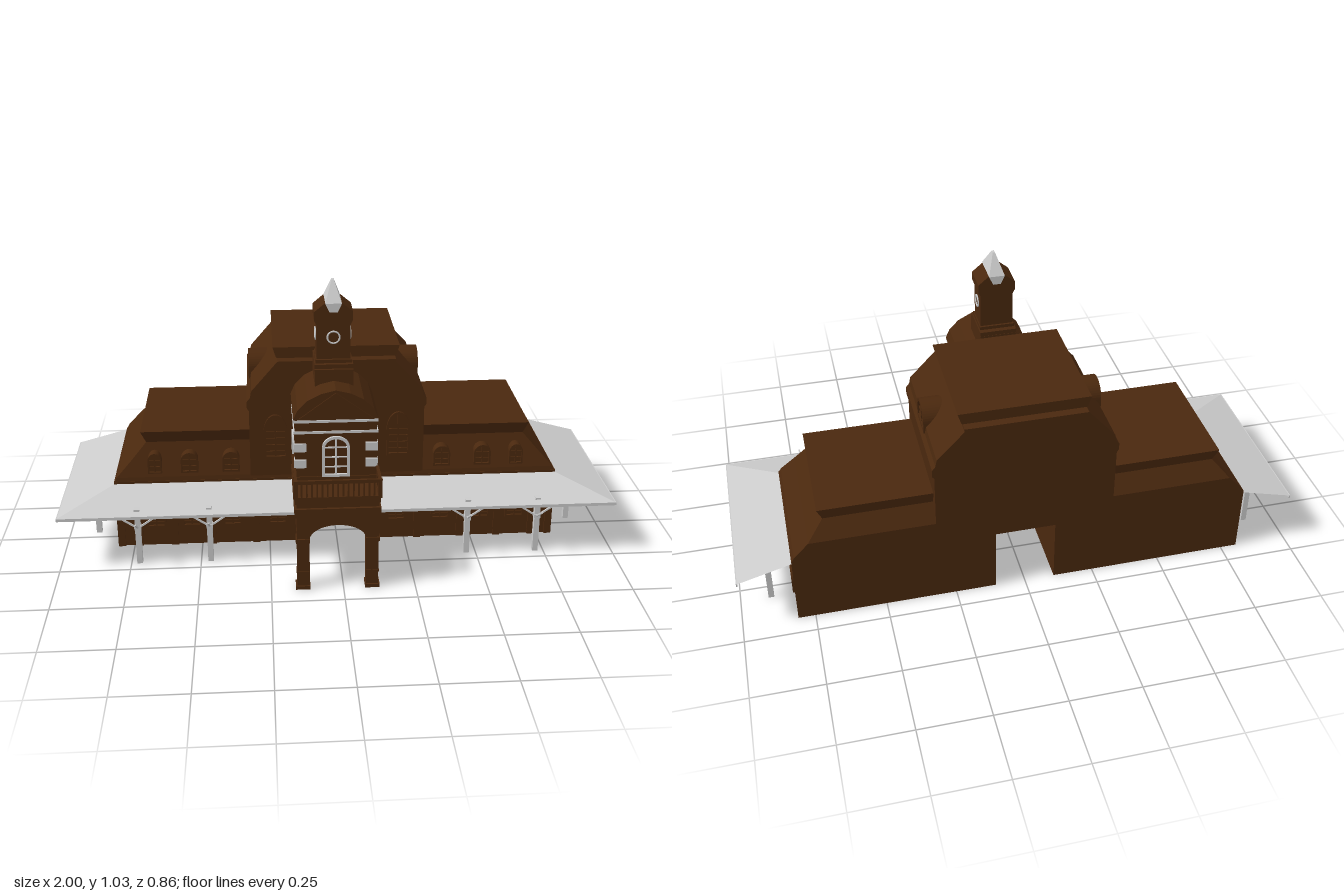
import * as THREE from 'three';

const brown = new THREE.MeshStandardMaterial({ color: 0x4a280e, flatShading: true, side: THREE.DoubleSide });
const grey = new THREE.MeshStandardMaterial({ color: 0xcccccc, flatShading: true, side: THREE.DoubleSide });
const CX = -0.02; // centre line of the entrance tower

export function createModel() {
  const root = new THREE.Group();

  const add = (name, geo, mat = brown, parent = root) => {
    const m = new THREE.Mesh(geo, mat);
    m.name = name;
    parent.add(m);
    return m;
  };
  // Box given by its limits
  const box = (name, x0, x1, y0, y1, z0, z1, mat = brown, parent = root) => {
    const m = add(name, new THREE.BoxGeometry(x1 - x0, y1 - y0, z1 - z0), mat, parent);
    m.position.set((x0 + x1) / 2, (y0 + y1) / 2, (z0 + z1) / 2);
    return m;
  };
  // Stack of rectangles [y, x0, x1, z0, z1] joined by flat sides and capped
  const loft = (name, rects, mat = brown) => {
    const pos = [], idx = [];
    for (const [y, x0, x1, z0, z1] of rects) pos.push(x0, y, z1, x1, y, z1, x1, y, z0, x0, y, z0);
    for (let r = 0; r < rects.length - 1; r++) {
      for (let i = 0; i < 4; i++) {
        const a = r * 4 + i, b = r * 4 + (i + 1) % 4;
        idx.push(a, b, b + 4, a, b + 4, a + 4);
      }
    }
    const t = (rects.length - 1) * 4;
    idx.push(0, 2, 1, 0, 3, 2, t, t + 1, t + 2, t, t + 2, t + 3);
    const g = new THREE.BufferGeometry();
    g.setAttribute('position', new THREE.Float32BufferAttribute(pos, 3));
    g.setIndex(idx);
    const flat = g.toNonIndexed();
    flat.computeVertexNormals();
    return add(name, flat, mat);
  };
  // Outline in x, y pushed from z0 to z1
  const prism = (name, shape, z0, z1, mat = brown, parent = root) => {
    const m = add(name, new THREE.ExtrudeGeometry(shape, { depth: z1 - z0, bevelEnabled: false, curveSegments: 10 }), mat, parent);
    m.position.z = z0;
    return m;
  };
  const poly = pts => new THREE.Shape(pts.map(p => new THREE.Vector2(...p)));
  const archPath = (Type, w, h, spring, inset = 0) => {
    const p = new Type(), r = w / 2 - inset;
    p.moveTo(-r, inset);
    p.lineTo(r, inset);
    p.lineTo(r, spring);
    p.absellipse(0, spring, r, h - spring - inset, 0, Math.PI, false);
    p.closePath();
    return p;
  };
  // Arched window facing +z before turning: frame, pane and glazing bars
  const archWindow = (name, [x, y, z], w, h, { mat = brown, turn = 0, depth = 0.012, spring = h * 0.6, bars = 3 } = {}) => {
    const g = new THREE.Group();
    g.name = name;
    const t = w * 0.1;
    const frame = archPath(THREE.Shape, w, h, spring);
    frame.holes.push(archPath(THREE.Path, w, h, spring, t));
    prism('windowFrame', frame, -depth, 0.006, mat, g);
    prism('windowPane', archPath(THREE.Shape, w, h, spring, t * 0.9), -depth, -0.003, mat, g);
    box('mullion', -0.0025, 0.0025, t, h - t, -0.004, 0.003, mat, g);
    for (let i = 1; i <= bars; i++) {
      const yy = spring * i / bars;
      box('glazingBar', t - w / 2, w / 2 - t, yy - 0.002, yy + 0.002, -0.004, 0.002, mat, g);
    }
    g.position.set(x, y, z);
    g.rotation.y = turn;
    root.add(g);
  };

  // Side wings with mansard roofs
  for (const s of [-1, 1]) {
    const span = (a, b) => s > 0 ? [a, b] : [-b, -a];
    box('wingWall', ...span(0.107, 0.81), 0, 0.26, -0.43, 0.07);
    loft('wingMansard', [
      [0.255, ...span(0.1, 0.81), -0.43, 0.07],
      [0.275, ...span(0.1, 0.80), -0.43, 0.066],
      [0.33, ...span(0.1, 0.748), -0.43, 0.046],
      [0.395, ...span(0.1, 0.69), -0.388, 0.022],
      [0.44, ...span(0.1, 0.708), -0.4, 0.036]]);
    for (const x of [0.385, 0.535, 0.66]) {
      const w = x > 0.6 ? 0.05 : 0.062;
      archWindow('dormerWindow', [s * x, 0.29, 0.064], w, 0.078, { depth: 0.05, bars: 2 });
    }
    for (const x of [0.22, 0.385, 0.535, 0.665]) archWindow('groundWindow', [s * x, 0.075, 0.072], 0.07, 0.095);
    for (const x of [0.14, 0.3, 0.46, 0.6, 0.73, 0.795]) box('wallPilaster', s * x - 0.013, s * x + 0.013, 0, 0.2, 0.06, 0.077);
    for (const z of [-0.045, -0.2, -0.355]) archWindow('sideWindow', [s * 0.811, 0.085, z], 0.072, 0.085, { turn: s * Math.PI / 2 });
    archWindow('tallWindow', [s * 0.222, 0.34, 0.07], 0.085, 0.17, { bars: 4 });
    archWindow('roofWindow', [s * 0.308, 0.575, -0.183], 0.118, 0.096, { turn: s * Math.PI / 2, depth: 0.1, spring: 0.04, bars: 2 });
  }

  // Central block over the passage
  prism('centralBlock', poly([[-0.315, 0.24], [0.315, 0.24], [0.315, 0.525], [0.322, 0.535], [0.322, 0.56], [0.31, 0.575],
    [0.305, 0.6], [0.21, 0.7], [0.21, 0.71], [-0.21, 0.71], [-0.305, 0.6], [-0.31, 0.575], [-0.322, 0.56], [-0.322, 0.535], [-0.315, 0.525]]),
  -0.43, 0.067);
  loft('centralCrown', [[0.705, -0.205, 0.205, -0.4, 0.03], [0.715, -0.215, 0.215, -0.4, 0.03], [0.75, -0.226, 0.226, -0.4, 0.03]]);

  // Canopy: sloping sheet, hip corners and a shallow edge strip
  const quad = (name, a, b, c, d) => {
    const g = new THREE.BufferGeometry();
    g.setAttribute('position', new THREE.Float32BufferAttribute([...a, ...b, ...c, ...a, ...c, ...d], 3));
    g.computeVertexNormals();
    add(name, g, grey);
  };
  for (const s of [-1, 1]) {
    const inner = s > 0 ? 0.122 : -0.158, zf = 0.233, yo = 0.2, yi = 0.252;
    quad('canopyFront', [inner, yo, zf], [s, yo, zf], [s * 0.81, yi, 0.07], [inner, yi, 0.07]);
    quad('canopySide', [s, yo, zf], [s, yo, -0.43], [s * 0.81, yi, -0.43], [s * 0.81, yi, 0.07]);
    box('canopyEdge', Math.min(inner, s), Math.max(inner, s), 0.19, 0.201, zf - 0.005, zf, grey);
    box('canopyEdge', s > 0 ? 0.995 : -1, s > 0 ? 1 : -0.995, 0.19, 0.201, -0.43, zf, grey);
    // Posts with four braces each
    for (const [x, z] of [[0.465, 0.197], [0.72, 0.197], [0.893, -0.045], [0.893, -0.297]]) {
      const post = new THREE.Group();
      post.name = 'canopyPost';
      box('postShaft', -0.01, 0.01, 0, 0.215, -0.01, 0.01, grey, post);
      box('postCollar', -0.012, 0.012, 0.135, 0.15, -0.012, 0.012, grey, post);
      for (let i = 0; i < 4; i++) {
        const arm = new THREE.Group();
        arm.rotation.y = i * Math.PI / 2;
        const brace = add('brace', new THREE.BoxGeometry(0.085, 0.006, 0.006), grey, arm);
        brace.position.set(0.042, 0.166, 0);
        brace.rotation.z = 0.6;
        post.add(arm);
      }
      post.position.set(s * x, 0, z);
      root.add(post);
    }
  }

  // Entrance porch with an arched front
  const front = poly([[-0.14, 0], [-0.097, 0], [-0.097, 0.19]]);
  front.absellipse(0, 0.19, 0.097, 0.055, Math.PI, 0, true);
  for (const p of [[0.097, 0], [0.14, 0], [0.14, 0.3], [-0.14, 0.3]]) front.lineTo(...p);
  front.closePath();
  prism('porchArch', front, 0.383, 0.42).position.x = CX;
  for (const s of [-1, 1]) {
    const c = CX + s * 0.12;
    box('porchPlinth', c - 0.025, c + 0.025, 0, 0.013, 0.378, 0.426);
    box('porchBand', c - 0.022, c + 0.022, 0.06, 0.068, 0.381, 0.423);
    box('porchCapital', c - 0.024, c + 0.024, 0.18, 0.195, 0.38, 0.425);
    box('porchSideBeam', c - 0.02, c + 0.02, 0.19, 0.3, 0.06, 0.39);
  }
  box('porchFloor', CX - 0.14, CX + 0.14, 0.25, 0.33, 0.06, 0.42);
  box('porchCornice', CX - 0.147, CX + 0.147, 0.28, 0.312, 0.06, 0.43);
  box('balconySlab', CX - 0.145, CX + 0.145, 0.328, 0.35, 0.06, 0.424);

  // Balcony railing
  const rail = (x0, x1, z0, z1) => {
    box('handrail', x0, x1, 0.408, 0.419, z0, z1);
    box('bottomRail', x0, x1, 0.35, 0.358, z0, z1);
  };
  rail(CX - 0.147, CX + 0.147, 0.424, 0.433);
  for (let i = 0; i <= 16; i++) {
    const x = CX - 0.14 + i * 0.0175;
    box('baluster', x - 0.003, x + 0.003, 0.35, 0.412, 0.426, 0.432);
  }
  for (const s of [-1, 1]) {
    const x = CX + s * 0.142;
    rail(x - 0.005, x + 0.005, 0.325, 0.433);
    for (let i = 0; i < 7; i++) box('baluster', x - 0.003, x + 0.003, 0.35, 0.412, 0.33 + i * 0.0145, 0.336 + i * 0.0145);
    box('railPost', x - 0.007, x + 0.007, 0.35, 0.419, 0.419, 0.433);
  }

  // Entrance tower body, bands, corner stones and windows
  box('towerBody', CX - 0.14, CX + 0.14, 0.34, 0.595, 0.06, 0.315);
  box('towerBase', CX - 0.143, CX + 0.143, 0.34, 0.38, 0.06, 0.319);
  for (const y of [0.54, 0.58]) box('stoneBand', CX - 0.144, CX + 0.144, y, y + 0.009, 0.068, 0.318, grey);
  for (const s of [-1, 1]) {
    for (const y of [0.415, 0.475]) box('cornerStone', CX + s * 0.122 - 0.021, CX + s * 0.122 + 0.021, y, y + 0.03, 0.29, 0.322, grey);
    archWindow('towerSideWindow', [CX + s * 0.141, 0.425, 0.19], 0.074, 0.076, { mat: grey, turn: s * Math.PI / 2, spring: 0.042 });
  }
  archWindow('balconyDoor', [CX, 0.38, 0.318], 0.095, 0.15, { mat: grey, spring: 0.108 });

  // Tower roof running front to back, with a raised gable trim
  prism('towerRoof', poly([[-0.145, 0.59], [0.145, 0.59], [0.13, 0.625], [0.095, 0.66], [0.05, 0.683], [0, 0.695],
    [-0.05, 0.683], [-0.095, 0.66], [-0.13, 0.625]]), 0.06, 0.315).position.x = CX;
  const gable = poly([[-0.125, 0.595], [-0.108, 0.595], [0, 0.672], [0.108, 0.595], [0.125, 0.595], [0, 0.687]]);
  prism('gableTrim', gable, 0.312, 0.319).position.x = CX;

  // Clock turret
  loft('turretBase', [[0.6, CX - 0.066, CX + 0.066, 0.065, 0.225], [0.735, CX - 0.066, CX + 0.066, 0.065, 0.225]]);
  box('turretStep', CX - 0.066, CX + 0.066, 0.735, 0.75, 0.066, 0.215);
  box('turretStep', CX - 0.062, CX + 0.062, 0.745, 0.762, 0.085, 0.2);
  box('turretShaft', CX - 0.058, CX + 0.058, 0.75, 0.89, 0.093, 0.19);
  loft('turretHead', [
    [0.885, CX - 0.058, CX + 0.058, 0.09, 0.193],
    [0.9, CX - 0.066, CX + 0.066, 0.09, 0.193],
    [0.93, CX - 0.066, CX + 0.066, 0.09, 0.193],
    [0.96, CX - 0.03, CX + 0.03, 0.09, 0.193]]);
  loft('spire', [
    [0.93, CX - 0.014, CX + 0.014, 0.085, 0.2],
    [0.961, CX - 0.028, CX + 0.028, 0.085, 0.2],
    [1.03, CX - 0.004, CX + 0.004, 0.134, 0.15]], grey);
  for (const [x, z, turn] of [[CX, 0.193, 0], [CX + 0.06, 0.142, 1], [CX - 0.06, 0.142, -1]]) {
    const ring = add('clockRing', new THREE.TorusGeometry(0.021, 0.003, 6, 24), grey);
    ring.position.set(x, 0.84, z);
    ring.rotation.y = turn * Math.PI / 2;
  }
  return root;
}
